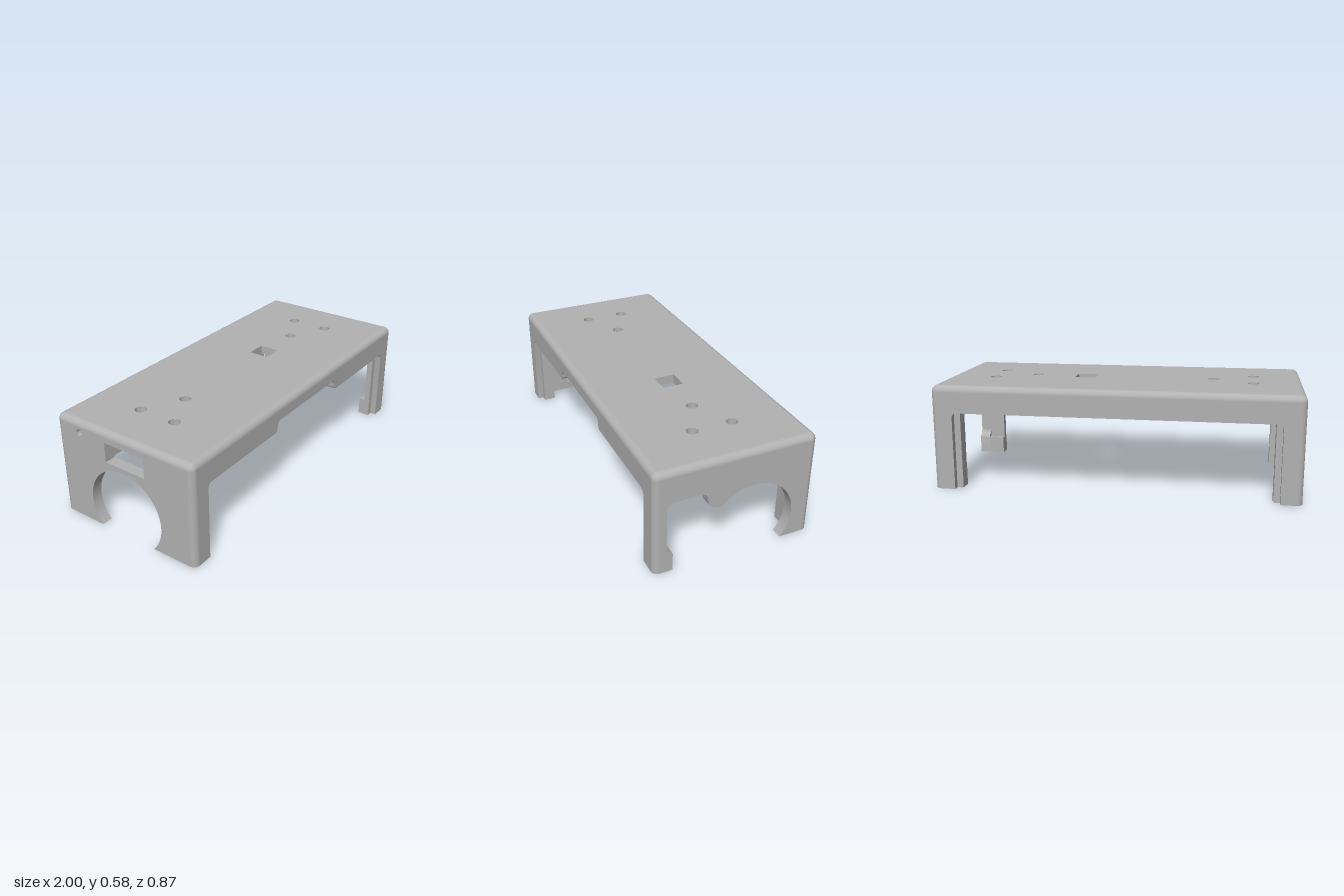
import * as THREE from 'three';
import { toCreasedNormals } from 'three/addons/utils/BufferGeometryUtils.js';

const X = 1, Z = 0.437, H = 0.58, R = 0.035; // half sizes, height, edge radius
const XI = X - R, ZI = Z - R, YI = H - R;
const WALL = 0.05, CEIL = 0.53;

export function createModel() {
  const group = new THREE.Group();
  const grey = new THREE.MeshStandardMaterial({ color: 0xb2b2b2 });
  grey.name = 'grey plastic';

  const add = (name, geometry, x = 0, y = 0, z = 0) => {
    const mesh = new THREE.Mesh(geometry, grey);
    mesh.name = name;
    mesh.position.set(x, y, z);
    group.add(mesh);
    return mesh;
  };
  const block = (name, x0, x1, y0, y1, z0, z1) =>
    add(name, new THREE.BoxGeometry(x1 - x0, y1 - y0, z1 - z0), (x0 + x1) / 2, (y0 + y1) / 2, (z0 + z1) / 2);
  const extrude = (shape, depth) =>
    toCreasedNormals(new THREE.ExtrudeGeometry(shape, { depth, bevelEnabled: false, curveSegments: 28 }), 0.6);
  const rectangle = (x0, x1, y0, y1, Type = THREE.Path) =>
    new Type([[x0, y0], [x1, y0], [x1, y1], [x0, y1]].map(p => new THREE.Vector2(...p)));
  const circle = (x, y, r) => new THREE.Path().absarc(x, y, r, 0, Math.PI * 2, false);

  // Top plate with screw wells and a square opening
  const wells = [[-0.51, 0], [0.51, 0]];
  for (const sx of [-1, 1]) for (const sz of [-1, 1]) wells.push([sx * 0.73, sz * 0.11]);
  const top = rectangle(-XI, XI, -ZI, ZI, THREE.Shape);
  top.holes.push(rectangle(0.165, 0.28, -0.06, 0.055));
  for (const [x, z] of wells) top.holes.push(circle(x, z, 0.031));
  add('topPlate', extrude(top, H - CEIL).rotateX(Math.PI / 2), 0, H, 0);
  for (const [x, z] of wells) add('screwBoss', new THREE.CylinderGeometry(0.055, 0.055, 0.06, 28), x, 0.505, z);

  // Rounded outer edges and corners
  for (const s of [-1, 1]) {
    add('longTopEdge', new THREE.CylinderGeometry(R, R, 2 * XI, 32).rotateZ(Math.PI / 2), 0, YI, s * ZI);
    add('endTopEdge', new THREE.CylinderGeometry(R, R, 2 * ZI, 32).rotateX(Math.PI / 2), s * XI, YI, 0);
    for (const t of [-1, 1]) {
      add('cornerEdge', new THREE.CylinderGeometry(R, R, YI, 32), s * XI, YI / 2, t * ZI);
      add('cornerBall', new THREE.SphereGeometry(R, 32, 16), s * XI, YI, t * ZI);
    }
  }

  // Long walls, the front one with a raised notch in its opening
  const longWall = notch => {
    const s = new THREE.Shape();
    s.moveTo(-XI, 0);
    s.lineTo(-0.885, 0);
    s.lineTo(-0.885, 0.4);
    s.quadraticCurveTo(-0.885, 0.43, -0.855, 0.43);
    if (notch) {
      s.lineTo(-0.315, 0.43);
      s.quadraticCurveTo(-0.3, 0.43, -0.3, 0.45);
      s.quadraticCurveTo(-0.3, 0.49, -0.27, 0.49);
      s.lineTo(0.27, 0.49);
      s.quadraticCurveTo(0.295, 0.49, 0.295, 0.45);
      s.quadraticCurveTo(0.295, 0.43, 0.315, 0.43);
    }
    s.lineTo(0.855, 0.43);
    s.quadraticCurveTo(0.885, 0.43, 0.885, 0.4);
    s.lineTo(0.885, 0);
    s.lineTo(XI, 0);
    s.lineTo(XI, YI);
    s.lineTo(-XI, YI);
    s.closePath();
    return extrude(s, WALL);
  };
  add('frontWall', longWall(true), 0, 0, Z - WALL);
  add('backWall', longWall(false), 0, 0, -Z);

  // Left end wall: offset round opening, hanging tongue and side cutout
  const left = new THREE.Shape();
  left.moveTo(-ZI, 0);
  left.lineTo(-ZI, YI);
  left.lineTo(ZI, YI);
  left.lineTo(ZI, 0);
  left.lineTo(0.335, 0);
  left.lineTo(0.335, 0.095);
  left.bezierCurveTo(0.335, 0.12, 0.368, 0.11, 0.368, 0.15);
  left.lineTo(0.368, 0.365);
  left.quadraticCurveTo(0.368, 0.405, 0.328, 0.405);
  left.lineTo(0.195, 0.405);
  left.quadraticCurveTo(0.155, 0.405, 0.155, 0.36);
  left.absarc(0.1, 0.36, 0.055, 0, -2.36, true);
  left.absarc(-0.095, 0.15, 0.23, 0.83, Math.PI + 0.71, false);
  left.closePath();
  const END = 0.06;
  add('leftEndWall', extrude(left, END).rotateY(-Math.PI / 2), X, 0, 0);

  // Right end wall: central round opening, window and small hole
  const right = new THREE.Shape();
  right.moveTo(-ZI, 0);
  right.lineTo(-ZI, YI);
  right.lineTo(ZI, YI);
  right.lineTo(ZI, 0);
  right.absarc(0, 0.15, 0.23, -0.71, Math.PI + 0.71, false);
  right.closePath();
  right.holes.push(rectangle(-0.11, 0.14, 0.405, 0.515), circle(-0.28, 0.515, 0.018));
  add('rightEndWall', extrude(right, END).rotateY(-Math.PI / 2), -X + END, 0, 0);

  // Corner posts standing on drilled foot pads
  for (const sx of [-1, 1]) for (const sz of [-1, 1]) {
    const foot = rectangle(-0.058, 0.058, -0.034, 0.034, THREE.Shape);
    foot.holes.push(circle(0, 0, 0.016));
    add('footPad', extrude(foot, 0.1).rotateX(Math.PI / 2), sx * 0.907, 0.1, sz * 0.369);
    const inner = sx > 0 && sz > 0 ? 0.368 : 0.335;
    const z = [sz * inner, sz * ZI].sort((a, b) => a - b);
    const x = [sx * 0.85, sx * XI].sort((a, b) => a - b);
    block('cornerPost', x[0], x[1], 0.1, CEIL, z[0], z[1]);
  }

  // Mounting shelves inside the ends
  block('rightFrontShelf', -0.95, -0.73, 0.405, 0.43, 0.16, 0.33);
  block('rightFrontShelfWall', -0.95, -0.73, 0.43, CEIL, 0.16, 0.19);
  block('rightBackShelf', -0.95, -0.73, 0.405, 0.43, -0.25, -0.12);
  block('rightBackShelfWall', -0.95, -0.73, 0.43, CEIL, -0.15, -0.12);
  block('leftShelf', 0.63, 0.95, 0.405, 0.43, 0.2, 0.39);
  block('leftShelfWall', 0.63, 0.66, 0.43, CEIL, 0.2, 0.39);

  // Retaining blocks under the ceiling
  block('switchBlockBack', 0.15, 0.4, 0.445, CEIL, -0.2, -0.12);
  block('switchBlockFront', 0.22, 0.36, 0.445, CEIL, 0.07, 0.12);
  block('longRetainer', -0.18, 0.15, 0.445, CEIL, -0.27, -0.2);
  block('smallRetainer', -0.22, -0.14, 0.47, CEIL, -0.19, -0.13);
  block('wideRetainer', -0.62, -0.42, 0.445, CEIL, -0.15, -0.08);
  return group;
}
